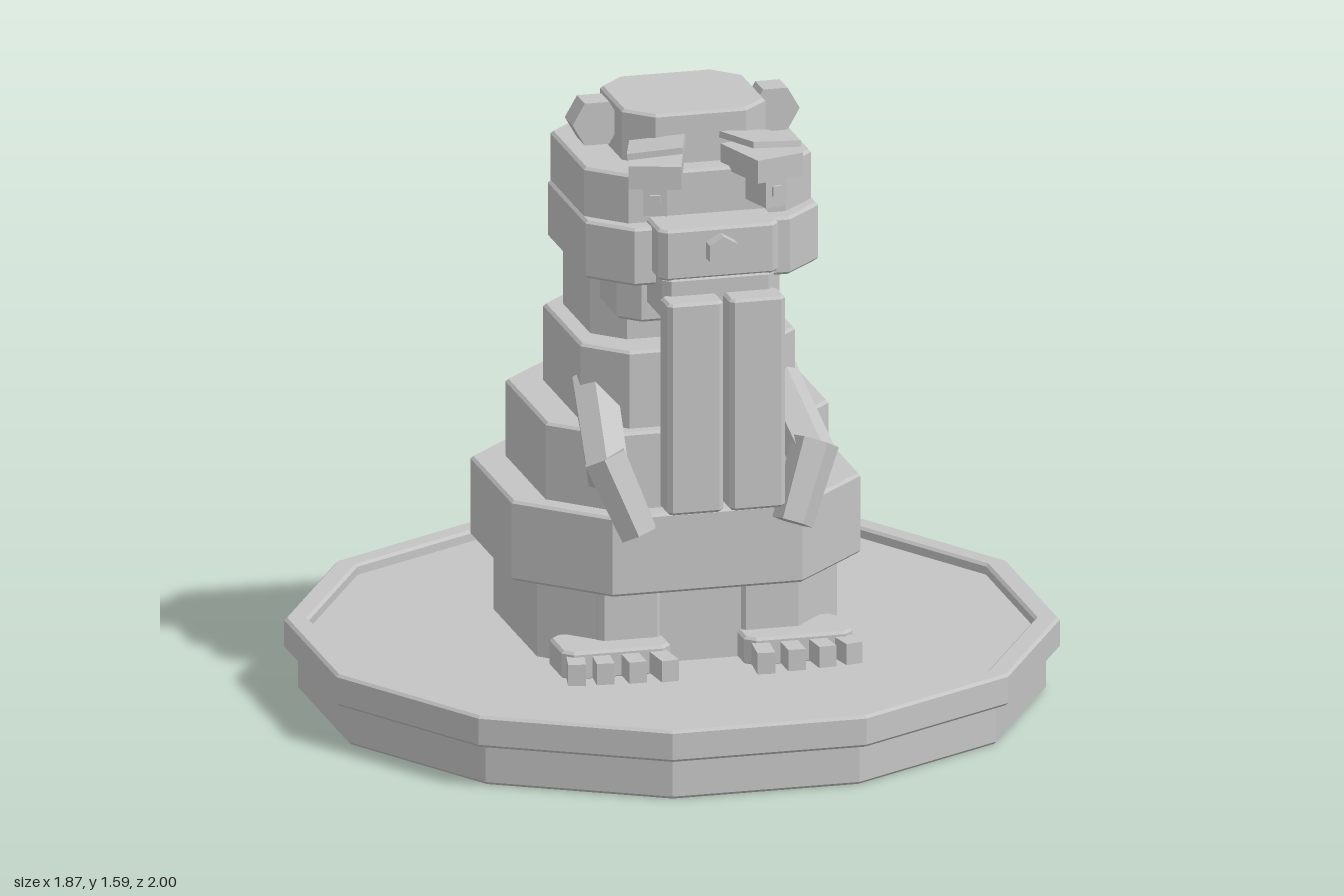
import * as THREE from 'three';

const stone = new THREE.MeshStandardMaterial({ color: 0xc4c4c4, flatShading: true });
stone.name = 'stone grey';

function mesh(name, geometry, parent) {
  const m = new THREE.Mesh(geometry, stone);
  m.name = name;
  parent.add(m);
  return m;
}

// Upright prism from an outline of [x, z] points, with a thin bevel
function prism(points, y0, y1, hole) {
  const bevel = 0.007;
  const toV = ([x, z]) => new THREE.Vector2(x, -z);
  const shape = new THREE.Shape(points.map(toV));
  // The hole runs the opposite way round so its wall faces inward
  if (hole) shape.holes.push(new THREE.Path(hole.map(toV).reverse()));
  const g = new THREE.ExtrudeGeometry(shape, {
    depth: y1 - y0 - 2 * bevel, bevelEnabled: true, bevelSegments: 1,
    bevelSize: bevel, bevelThickness: bevel, bevelOffset: -bevel,
  });
  g.rotateX(-Math.PI / 2);
  g.translate(0, y0 + bevel, 0);
  return g;
}

// Block with cut corners
function block(x0, x1, y0, y1, z0, z1, cut) {
  return prism([
    [x0 + cut, z1], [x0, z1 - cut], [x0, z0 + cut], [x0 + cut, z0],
    [x1 - cut, z0], [x1, z0 + cut], [x1, z1 - cut], [x1 - cut, z1],
  ], y0, y1);
}

function box(x0, x1, y0, y1, z0, z1) {
  const g = new THREE.BoxGeometry(x1 - x0, y1 - y0, z1 - z0);
  g.translate((x0 + x1) / 2, (y0 + y1) / 2, (z0 + z1) / 2);
  return g;
}

// Twelve-sided outline with flats facing the axes
function dodecagon(apothem) {
  const r = apothem / Math.cos(Math.PI / 12);
  return Array.from({ length: 12 }, (_, i) => {
    const a = Math.PI / 12 + i * Math.PI / 6;
    return [r * Math.cos(a), 0.065 + r * Math.sin(a)];
  });
}

// Faceted limb between two points
function limb(name, a, b, r0, r1, parent) {
  const from = new THREE.Vector3(...a), to = new THREE.Vector3(...b);
  const dir = to.clone().sub(from);
  const m = mesh(name, new THREE.CylinderGeometry(r1, r0, dir.length(), 6), parent);
  m.position.copy(from).add(to).multiplyScalar(0.5);
  m.quaternion.setFromUnitVectors(new THREE.Vector3(0, 1, 0), dir.normalize());
}

export function createModel() {
  const model = new THREE.Group();
  model.name = 'stone animal statue';

  // Plinth with a shallow recessed floor
  mesh('plinthFoot', prism(dodecagon(0.9), 0, 0.113), model);
  mesh('plinthFloor', prism(dodecagon(0.89), 0.106, 0.16), model);
  mesh('plinthRim', prism(dodecagon(0.933), 0.106, 0.188, dodecagon(0.873)), model);

  // Stacked body: half width, bottom, top, back, front, corner cut
  [
    ['lowerBody', 0.387, 0.15, 0.37, -0.337, 0.338, 0.13],
    ['hips', 0.45, 0.36, 0.568, -0.4, 0.405, 0.205],
    ['belly', 0.365, 0.56, 0.768, -0.315, 0.35, 0.14],
    ['chest', 0.277, 0.76, 0.968, -0.24, 0.315, 0.1],
    ['neck', 0.23, 0.96, 1.174, -0.2, 0.21, 0.075],
    ['throat', 0.21, 1.058, 1.2, 0.1, 0.365, 0.05],
    ['jaw', 0.3, 1.18, 1.33, -0.11, 0.45, 0.1],
    ['browBand', 0.293, 1.32, 1.457, -0.102, 0.4, 0.09],
    ['crown', 0.185, 1.445, 1.588, -0.005, 0.34, 0.068],
  ].forEach(([name, w, y0, y1, z0, z1, cut]) =>
    mesh(name, block(-w, w, y0, y1, z0, z1, cut), model));

  // Muzzle and nose
  mesh('upperMuzzle', block(-0.155, 0.155, 1.21, 1.342, 0.3, 0.525, 0.02), model);
  mesh('lowerMuzzle', block(-0.145, 0.145, 1.104, 1.215, 0.3, 0.525, 0.02), model);
  const nose = mesh('nose', new THREE.CylinderGeometry(0.042, 0.042, 0.07, 6), model);
  nose.rotation.x = Math.PI / 2;
  nose.position.set(0, 1.285, 0.528);

  // Paired parts, mirrored by building each side with sign s
  for (const s of [1, -1]) {
    const side = s > 0 ? 'left' : 'right';
    const span = (a, b) => (s > 0 ? [a, b] : [-b, -a]);

    mesh(side + 'Tooth', block(...span(0.008, 0.152), 0.62, 1.17, 0.508, 0.595, 0.012), model);
    mesh(side + 'Thigh', block(...span(0.1, 0.265), 0.15, 0.37, 0.1, 0.348, 0.015), model);

    // Eye, lid and brow plate, turned outward
    const eye = new THREE.Group();
    eye.name = side + 'Eye';
    eye.position.set(s * 0.14, 1.46, 0.43);
    eye.rotation.y = s * 0.3;
    mesh('eyelid', box(-0.066, 0.066, -0.015, 0.045, -0.1, 0.075), eye);
    mesh('eyeball', box(-0.03, 0.03, -0.09, -0.01, -0.06, 0.055), eye);
    mesh('pupil', box(-0.013, 0.013, -0.06, -0.035, 0.04, 0.063), eye);
    const brow = mesh('eyebrow', new THREE.BoxGeometry(0.14, 0.016, 0.16), eye);
    brow.position.set(0, 0.067, -0.02);
    brow.rotation.set(-0.08, 0, -s * 0.13);
    model.add(eye);

    // Ear
    const ear = mesh(side + 'Ear', new THREE.CylinderGeometry(0.063, 0.063, 0.075, 6), model);
    ear.rotation.set(Math.PI / 2, Math.PI / 6, 0);
    ear.position.set(s * 0.23, 1.533, 0.163);

    // Arm
    limb(side + 'UpperArm', [s * 0.228, 0.85, 0.17], [s * 0.265, 0.69, 0.44], 0.062, 0.06, model);
    limb(side + 'Forearm', [s * 0.272, 0.735, 0.43], [s * 0.198, 0.545, 0.485], 0.06, 0.052, model);

    // Foot with four splayed toes
    mesh(side + 'Foot', block(...span(0.095, 0.375), 0.155, 0.23, 0.26, 0.425, 0.025), model);
    [0.13, 0.205, 0.28, 0.345].forEach((x, i) => {
      const toe = mesh(side + 'Toe', new THREE.BoxGeometry(0.045, 0.055, 0.13), model);
      toe.position.set(s * x, 0.19, 0.445 - 0.008 * i);
      toe.rotation.y = s * (i - 1) * 0.1;
    });
  }

  // Flat tail and its sloping root
  mesh('tail', prism([
    [-0.085, -0.44], [-0.21, -0.55], [-0.21, -0.87], [-0.08, -1],
    [0.08, -1], [0.21, -0.87], [0.21, -0.55], [0.085, -0.44],
  ], 0.17, 0.25), model);
  const root = mesh('tailRoot', new THREE.BoxGeometry(0.2, 0.1, 0.34), model);
  root.position.set(0, 0.285, -0.385);
  root.rotation.x = -0.6;
  return model;
}
